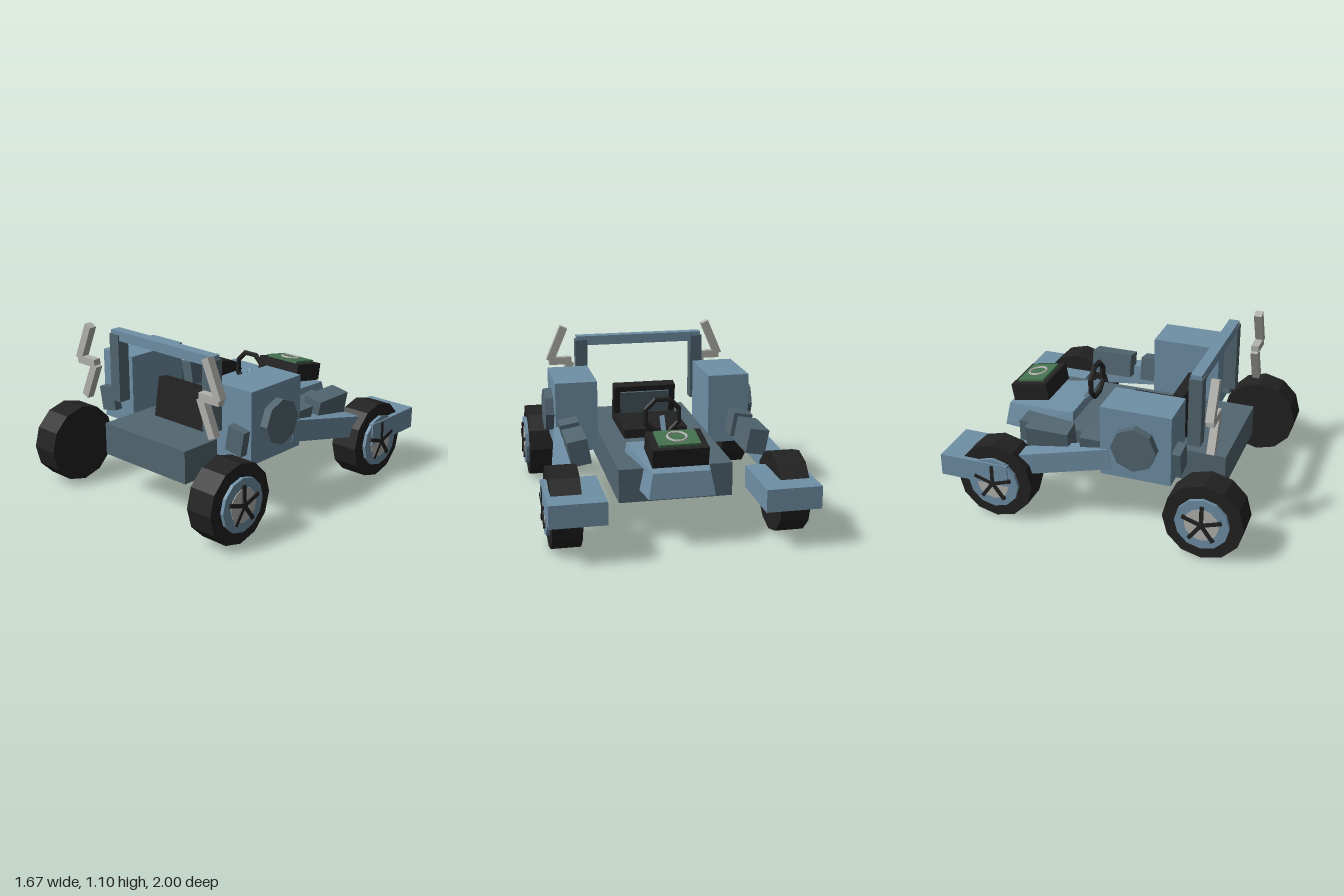
import * as THREE from 'three';

const mat = (name, color) => {
  const m = new THREE.MeshStandardMaterial({ color, flatShading: true });
  m.name = name;
  return m;
};

export function createModel() {
  const blue = mat('steel blue', 0x7090a6);
  const slate = mat('dark slate', 0x526670);
  const black = mat('black', 0x222222);
  const grey = mat('light grey', 0xb2b3ae);
  const green = mat('green', 0x457350);
  const model = new THREE.Group();
  model.name = 'buggy';

  const add = (name, geo, m, x, y, z, parent = model) => {
    const mesh = new THREE.Mesh(geo, m);
    mesh.name = name;
    mesh.position.set(x, y, z);
    parent.add(mesh);
    return mesh;
  };
  const box = (name, m, w, h, d, x, y, z, parent) =>
    add(name, new THREE.BoxGeometry(w, h, d), m, x, y, z, parent);
  // Cylinder lying along x
  const disc = (name, m, r, len, sides, x, y, z, parent) =>
    add(name, new THREE.CylinderGeometry(r, r, len, sides).rotateZ(Math.PI / 2), m, x, y, z, parent);
  // Box stretched between two points
  const beam = (name, m, w, h, a, b) => {
    const from = new THREE.Vector3(...a), to = new THREE.Vector3(...b);
    const mid = from.clone().add(to).multiplyScalar(0.5);
    const mesh = box(name, m, w, h, from.distanceTo(to), mid.x, mid.y, mid.z);
    mesh.lookAt(to);
    return mesh;
  };

  // Chassis
  box('chassis', slate, 0.72, 0.215, 1.42, 0, 0.362, 0.05);

  // Hood: a box tapered towards the nose and the top
  const hoodGeo = new THREE.BoxGeometry(2, 2, 2).toNonIndexed();
  const p = hoodGeo.attributes.position;
  for (let i = 0; i < p.count; i++) {
    const top = p.getY(i) > 0, nose = p.getZ(i) < 0;
    const half = (nose ? 0.207 : 0.28) - (top ? 0.028 : 0);
    const y = top ? (nose ? 0.485 : 0.535) : 0.33;
    const z = nose ? (top ? -0.815 : -0.84) : (top ? -0.32 : -0.305);
    p.setXYZ(i, Math.sign(p.getX(i)) * half, y, z);
  }
  hoodGeo.computeVertexNormals();
  add('hood', hoodGeo, blue, 0, 0, 0);

  // Control box with green screen and ring on the hood
  const unit = new THREE.Group();
  unit.name = 'controlBox';
  unit.position.set(0, 0.588, -0.663);
  unit.rotation.x = -0.175;
  model.add(unit);
  box('controlCase', black, 0.35, 0.118, 0.257, 0, 0, 0, unit);
  box('screen', green, 0.26, 0.02, 0.19, 0, 0.066, 0, unit);
  add('screenRing', new THREE.TorusGeometry(0.06, 0.008, 6, 16).rotateX(Math.PI / 2), grey, 0, 0.08, 0, unit);

  // Seat
  box('seatCushion', black, 0.43, 0.06, 0.45, 0, 0.5, 0.18);
  const back = new THREE.Group();
  back.name = 'seatBack';
  back.position.set(0, 0.6, 0.396);
  back.rotation.x = -0.17;
  model.add(back);
  box('backrest', black, 0.43, 0.265, 0.08, 0, 0, 0, back);
  box('backrestPad', slate, 0.34, 0.21, 0.016, 0, -0.01, -0.047, back);

  // Steering wheel and column
  add('steeringWheel', new THREE.TorusGeometry(0.118, 0.018, 6, 8).rotateZ(Math.PI / 8), black, 0, 0.675, -0.245);
  beam('steeringColumn', blue, 0.028, 0.028, [0, 0.67, -0.235], [0, 0.51, -0.34]);

  // Roll bar
  box('rollBarTop', blue, 0.89, 0.065, 0.07, 0, 1.018, 0.575);

  const wheel = (s, z) => {
    const g = new THREE.Group();
    g.name = 'wheel';
    g.position.set(s * 0.705, 0.257, z);
    model.add(g);
    disc('tire', black, 0.257, 0.185, 12, 0, 0, 0, g);
    disc('rim', blue, 0.173, 0.03, 12, s * 0.1, 0, 0, g);
    disc('hubPlate', grey, 0.11, 0.015, 12, s * 0.112, 0, 0, g);
    disc('hubCap', black, 0.025, 0.02, 8, s * 0.12, 0, 0, g);
    for (let i = 0; i < 5; i++) {
      const a = i * Math.PI * 2 / 5;
      const spoke = box('spoke', black, 0.018, 0.13, 0.024, s * 0.12, 0.065 * Math.cos(a), 0.065 * Math.sin(a), g);
      spoke.rotation.x = a;
    }
  };

  for (const s of [-1, 1]) {
    wheel(s, 0.743);
    wheel(s, -0.64);
    box('fender', blue, 0.35, 0.145, 0.465, s * 0.655, 0.328, -0.767);
    box('rollBarPost', slate, 0.083, 0.455, 0.085, s * 0.413, 0.797, 0.575);
    // Side pod with round cap
    box('sidePod', blue, 0.28, 0.47, 0.46, s * 0.52, 0.615, 0.265);
    disc('podCap', slate, 0.147, 0.07, 8, s * 0.68, 0.615, 0.268);
    // Row of tilted side blocks
    for (let i = 0; i < 3; i++) {
      const b = box('sideBlock', slate, 0.128, 0.163, 0.29, s * 0.574, 0.533, -0.335 + i * 0.37);
      b.rotation.z = -s * 0.175;
    }
    // Arm linking the pod to the rear fender
    beam('sideArm', blue, 0.115, 0.14, [s * 0.607, 0.493, 0.09], [s * 0.708, 0.362, -0.6]);
    // Zigzag bolt of three bars
    const upper = box('boltUpper', grey, 0.055, 0.26, 0.052, s * 0.568, 0.967, 0.72);
    const lower = box('boltLower', grey, 0.055, 0.25, 0.05, s * 0.521, 0.718, 0.72);
    upper.rotation.z = lower.rotation.z = s * 0.405;
    box('boltMiddle', grey, 0.16, 0.052, 0.051, s * 0.545, 0.844, 0.72);
  }
  return model;
}
